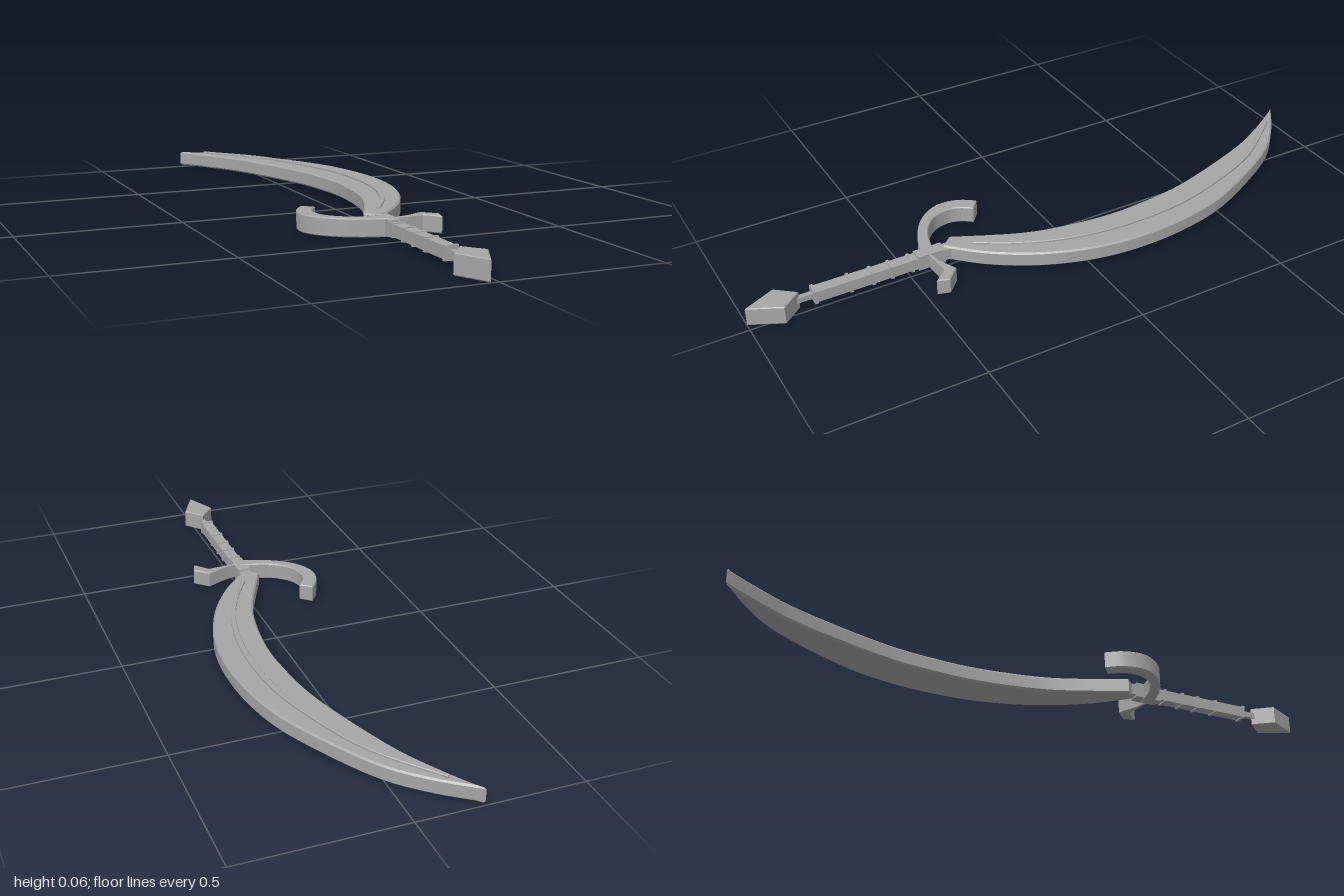
import * as THREE from 'three';
import { toCreasedNormals } from 'three/addons/utils/BufferGeometryUtils.js';

const steel = new THREE.MeshStandardMaterial({ color: 0xa6a6a6 });
steel.name = 'grey steel';

// points are [x, z] seen from above; shapes use y = -z so they lie flat once rotated
const toVec = ([x, z]) => new THREE.Vector2(x, -z);
const smooth = (points, n = 28) => new THREE.SplineCurve(points.map(toVec)).getPoints(n);

// flat plate with chamfered rims between heights y0 and y1
function plate(name, outline, y0, y1, bevel) {
  const geometry = new THREE.ExtrudeGeometry(new THREE.Shape(outline), {
    depth: y1 - y0 - 2 * bevel, bevelEnabled: bevel > 0, bevelSize: bevel,
    bevelThickness: bevel, bevelOffset: -bevel, bevelSegments: 1,
  });
  geometry.translate(0, 0, y0 + bevel).rotateX(-Math.PI / 2);
  const mesh = new THREE.Mesh(toCreasedNormals(geometry, 0.5), steel);
  mesh.name = name;
  return mesh;
}

// outline of a band following a curve, narrowing towards both ends
function band(points, halfWidth) {
  const curve = new THREE.SplineCurve(points.map(toVec));
  const left = [], right = [], n = 36;
  for (let i = 0; i <= n; i++) {
    const t = i / n, p = curve.getPoint(t), d = curve.getTangent(t);
    const w = halfWidth * (0.6 + 0.4 * Math.sin(Math.PI * t));
    left.push(new THREE.Vector2(p.x - d.y * w, p.y + d.x * w));
    right.unshift(new THREE.Vector2(p.x + d.y * w, p.y - d.x * w));
  }
  return [...left, ...right];
}

function box(name, w, h, d, x, y, z) {
  const mesh = new THREE.Mesh(new THREE.BoxGeometry(w, h, d), steel);
  mesh.name = name;
  mesh.position.set(x, y, z);
  return mesh;
}

export function createModel() {
  const sword = new THREE.Group();
  sword.name = 'curvedSword';

  // crescent blade
  const outer = smooth([[-0.025, 0.38], [0.075, 0.275], [0.16, 0.135], [0.215, -0.03], [0.23, -0.2],
    [0.212, -0.38], [0.16, -0.55], [0.03, -0.79], [-0.08, -0.91], [-0.2, -1]], 40);
  const inner = smooth([[-0.2, -1], [-0.13, -0.89], [-0.05, -0.735], [0.045, -0.45], [0.075, -0.25],
    [0.077, -0.11], [0.055, 0.05], [0.02, 0.165], [-0.062, 0.34]], 40);
  sword.add(plate('blade', [...outer, ...inner.slice(1)], 0.007, 0.056, 0.005));

  // raised rib along the upper face
  const rib = band([[0.008, 0.295], [0.075, 0.18], [0.13, 0.03], [0.155, -0.15], [0.145, -0.35],
    [0.1, -0.53], [0.015, -0.735], [-0.13, -0.925]], 0.009);
  sword.add(plate('bladeRib', rib, 0.045, 0.063, 0.002));

  // large hooked quillon
  const hookOuter = smooth([[-0.02, 0.452], [-0.1, 0.428], [-0.175, 0.385], [-0.222, 0.33],
    [-0.236, 0.275], [-0.222, 0.22], [-0.192, 0.178]]);
  const hookInner = smooth([[-0.157, 0.208], [-0.182, 0.245], [-0.19, 0.285], [-0.175, 0.335],
    [-0.135, 0.374], [-0.085, 0.397], [-0.02, 0.412]]);
  sword.add(plate('hookedGuard', [...hookOuter, ...hookInner], 0.004, 0.059, 0.003));

  // short bent quillon
  const spur = [[-0.02, 0.435], [0.04, 0.418], [0.095, 0.393], [0.137, 0.434], [0.125, 0.472],
    [0.085, 0.428], [-0.02, 0.436]].map(toVec);
  sword.add(plate('shortGuard', spur, 0.005, 0.057, 0.003));

  // grip with raised rings
  const gx = -0.024, gy = 0.033;
  sword.add(box('grip', 0.037, 0.036, 0.44, gx, gy, 0.58));
  for (const z of [0.49, 0.555, 0.615, 0.685, 0.795]) {
    sword.add(box('gripRing', 0.043, 0.042, 0.01, gx, gy, z));
  }
  sword.add(box('guardBlock', 0.04, 0.048, 0.09, gx, gy, 0.425));
  sword.add(box('pommelNeck', 0.016, 0.018, 0.07, gx, gy, 0.825));

  // kite-shaped pommel
  const kite = [[gx, 0.84], [gx - 0.05, 0.9], [gx, 1], [gx + 0.05, 0.9]].map(toVec);
  sword.add(plate('pommel', kite, 0, 0.06, 0.003));
  return sword;
}
